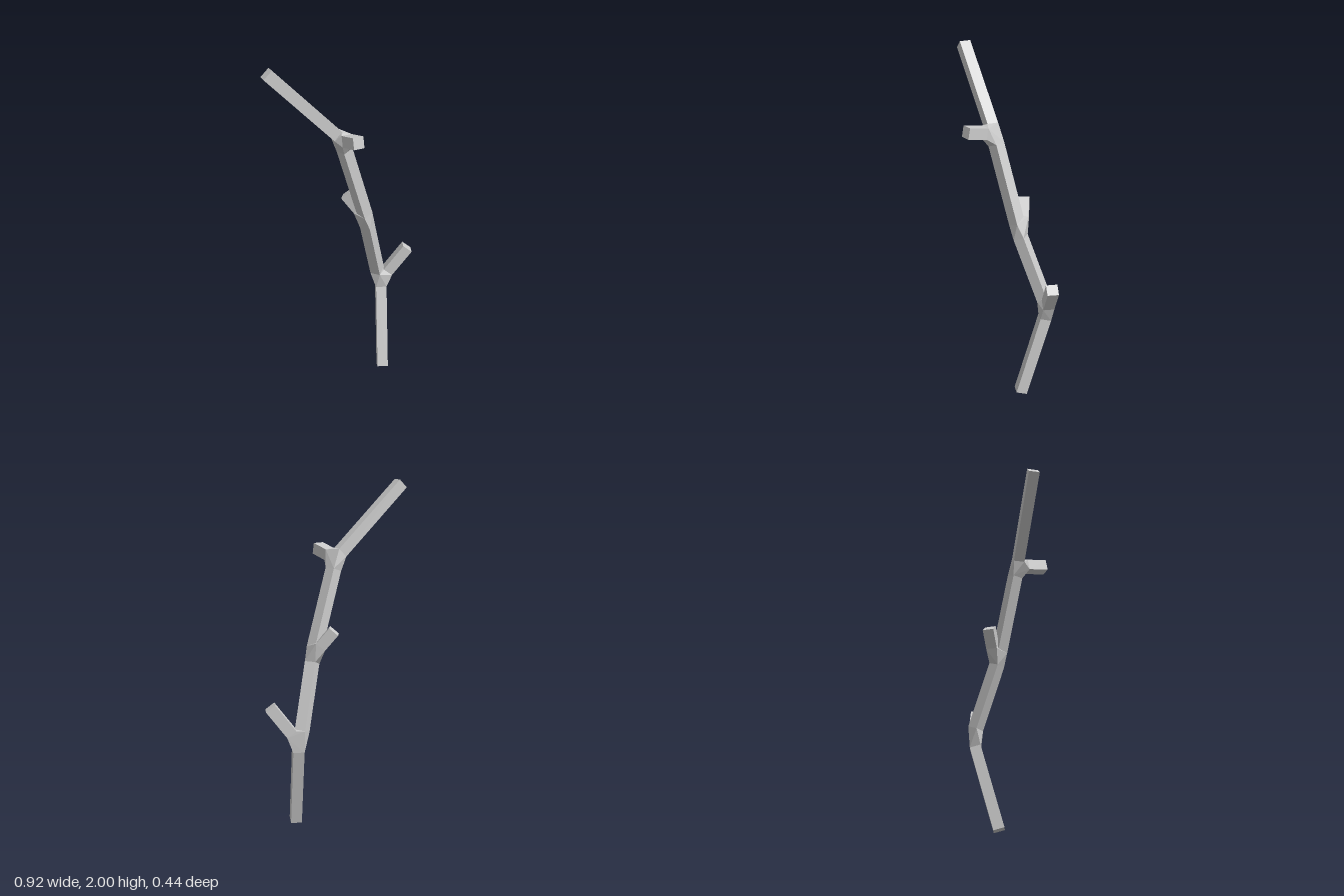
import * as THREE from 'three';
import { ConvexGeometry } from 'three/addons/geometries/ConvexGeometry.js';

const WIDTH = 0.065;
const material = new THREE.MeshStandardMaterial({ color: 0xcccccc, flatShading: true });

// Four corners of a square section at centre c, perpendicular to dir, one side level
function ring(c, dir) {
  const side = new THREE.Vector3(0, 1, 0).cross(dir).normalize();
  const up = dir.clone().cross(side);
  const h = WIDTH / 2;
  return [[-h, -h], [h, -h], [h, h], [-h, h]].map(([a, b]) =>
    c.clone().addScaledVector(side, a).addScaledVector(up, b));
}

function hull(name, points) {
  const mesh = new THREE.Mesh(new ConvexGeometry(points), material);
  mesh.name = name;
  return mesh;
}

export function createModel() {
  const group = new THREE.Group();
  group.name = 'branch';

  // Straight square limbs: start and end of the centre line
  const limbs = {
    lowerStem: [[0.2, 0.009, 0.143], [0.3, 0.5, 0.045]],
    lowerTwig: [[0.335, 0.605, 0.068], [0.415, 0.762, 0.154]],
    middleStem: [[0.283, 0.61, 0.029], [0.138, 0.98, 0.06]],
    middleTwig: [[0.12, 1.08, 0.01], [0.082, 1.17, -0.055]],
    upperStem: [[0.113, 1.06, 0.061], [-0.045, 1.5, 0.037]],
    upperTwig: [[-0.088, 1.577, 0.093], [-0.13, 1.601, 0.207]],
    tip: [[-0.092, 1.595, 0.02], [-0.425, 1.977, -0.18]],
  };
  const ends = {};
  for (const [name, [a, b]] of Object.entries(limbs)) {
    const start = new THREE.Vector3(...a), end = new THREE.Vector3(...b);
    const dir = end.clone().sub(start).normalize();
    ends[name] = { start: ring(start, dir), end: ring(end, dir) };
    group.add(hull(name, [...ends[name].start, ...ends[name].end]));
  }

  // Forks: a faceted knot joins the stem below to the two limbs above
  const forks = [
    ['lowerFork', 'lowerStem', 'middleStem', 'lowerTwig'],
    ['middleFork', 'middleStem', 'upperStem', 'middleTwig'],
    ['upperFork', 'upperStem', 'tip', 'upperTwig'],
  ];
  for (const [name, below, above, twig] of forks) {
    group.add(hull(name, [...ends[below].end, ...ends[above].start, ...ends[twig].start]));
  }
  return group;
}
